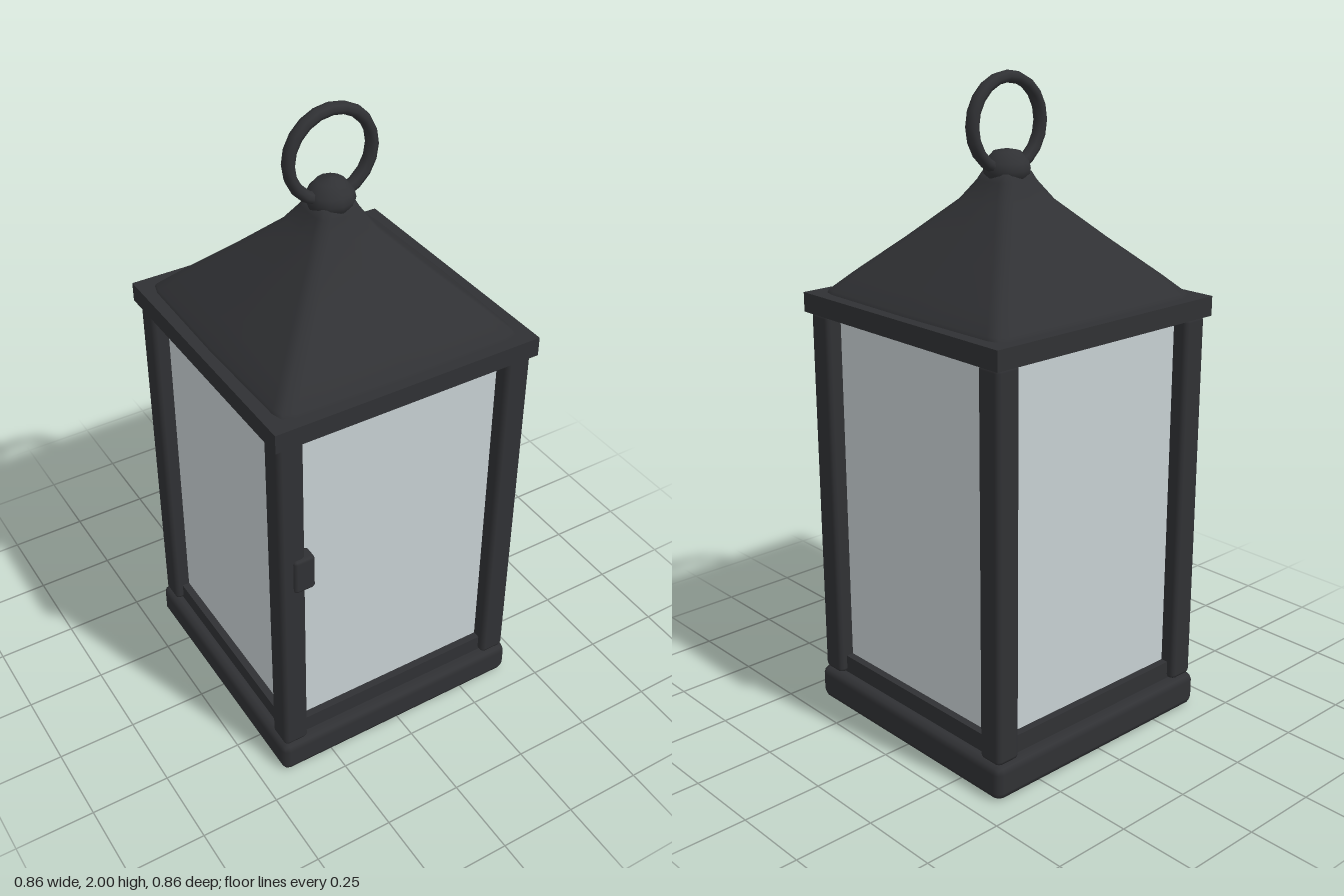
import * as THREE from 'three';
import { RoundedBoxGeometry } from 'three/addons/geometries/RoundedBoxGeometry.js';

const iron = new THREE.MeshStandardMaterial({ color: 0x303134 });
const glass = new THREE.MeshStandardMaterial({ color: 0xc6cfd2 });

function add(parent, name, geometry, x = 0, y = 0, z = 0, material = iron) {
  const mesh = new THREE.Mesh(geometry, material);
  mesh.name = name;
  mesh.position.set(x, y, z);
  parent.add(mesh);
  return mesh;
}

// Softened square loop: per side a mid point, then three points round the corner
function squareLoop(half, corner) {
  const points = [];
  for (let side = 0; side < 4; side++) {
    const turn = side * Math.PI / 2;
    const c = Math.cos(turn), s = Math.sin(turn);
    const k = half - corner, d = corner * 0.72;
    const quarter = [[half * 1.005, 0], [half * 0.99, k], [k + d, k + d], [k, half * 0.99]];
    for (const [a, b] of quarter) points.push([a * c - b * s, a * s + b * c]);
  }
  return points;
}

// Gently flared pyramid roof lofted through softened squares: [height, half width, corner]
function roofGeometry() {
  const rings = [
    [1.345, 0.394, 0.05], [1.36, 0.388, 0.05], [1.415, 0.333, 0.045],
    [1.525, 0.217, 0.04], [1.635, 0.107, 0.035], [1.69, 0.07, 0.03], [1.715, 0.058, 0.028],
  ];
  const n = 16, positions = [], index = [];
  for (const [y, half, corner] of rings) {
    for (const [x, z] of squareLoop(half, corner)) positions.push(x, y, z);
  }
  for (let r = 0; r < rings.length - 1; r++) {
    for (let i = 0; i < n; i++) {
      const a = r * n + i, b = r * n + (i + 1) % n;
      index.push(a, a + n, b, b, a + n, b + n);
    }
  }
  const top = positions.length / 3;
  positions.push(0, 1.715, 0);
  for (let i = 0; i < n; i++) index.push(top - n + i, top, top - n + (i + 1) % n);
  const geometry = new THREE.BufferGeometry();
  geometry.setAttribute('position', new THREE.Float32BufferAttribute(positions, 3));
  geometry.setIndex(index);
  geometry.computeVertexNormals();
  return geometry;
}

export function createModel() {
  const lantern = new THREE.Group();
  lantern.name = 'lantern';

  // Base plinth and eaves slab
  add(lantern, 'base', new RoundedBoxGeometry(0.852, 0.108, 0.852, 1, 0.024), 0, 0.054, 0);
  add(lantern, 'eaves', new THREE.BoxGeometry(0.856, 0.06, 0.856), 0, 1.32, 0);

  // Corner posts
  for (const x of [-1, 1]) {
    for (const z of [-1, 1]) {
      add(lantern, 'cornerPost', new RoundedBoxGeometry(0.082, 1.185, 0.082, 1, 0.014),
        x * 0.374, 0.7, z * 0.374);
    }
  }

  // Four sides, each with a sill rail and a recessed pane
  for (let i = 0; i < 4; i++) {
    const side = new THREE.Group();
    side.name = 'glazedSide';
    side.rotation.y = i * Math.PI / 2;
    add(side, 'sillRail', new THREE.BoxGeometry(0.69, 0.065, 0.05), 0, 0.1325, 0.365);
    add(side, 'pane', new THREE.BoxGeometry(0.69, 1.14, 0.012), 0, 0.725, 0.36, glass);
    lantern.add(side);
  }

  // Door latch on the front
  add(lantern, 'latch', new RoundedBoxGeometry(0.068, 0.12, 0.05, 1, 0.01), -0.341, 0.81, 0.4);

  // Roof, finial knob and carrying ring
  add(lantern, 'roof', roofGeometry());
  const knob = [[0.05, 1.685], [0.067, 1.7], [0.071, 1.72], [0.066, 1.742], [0.04, 1.772], [0, 1.78]]
    .map(([r, y]) => new THREE.Vector2(r, y));
  add(lantern, 'finialKnob', new THREE.LatheGeometry(knob, 12));
  const ring = add(lantern, 'carryingRing', new THREE.TorusGeometry(0.132, 0.018, 8, 20), 0, 1.85, 0);
  ring.scale.z = 1.22;

  return lantern;
}
